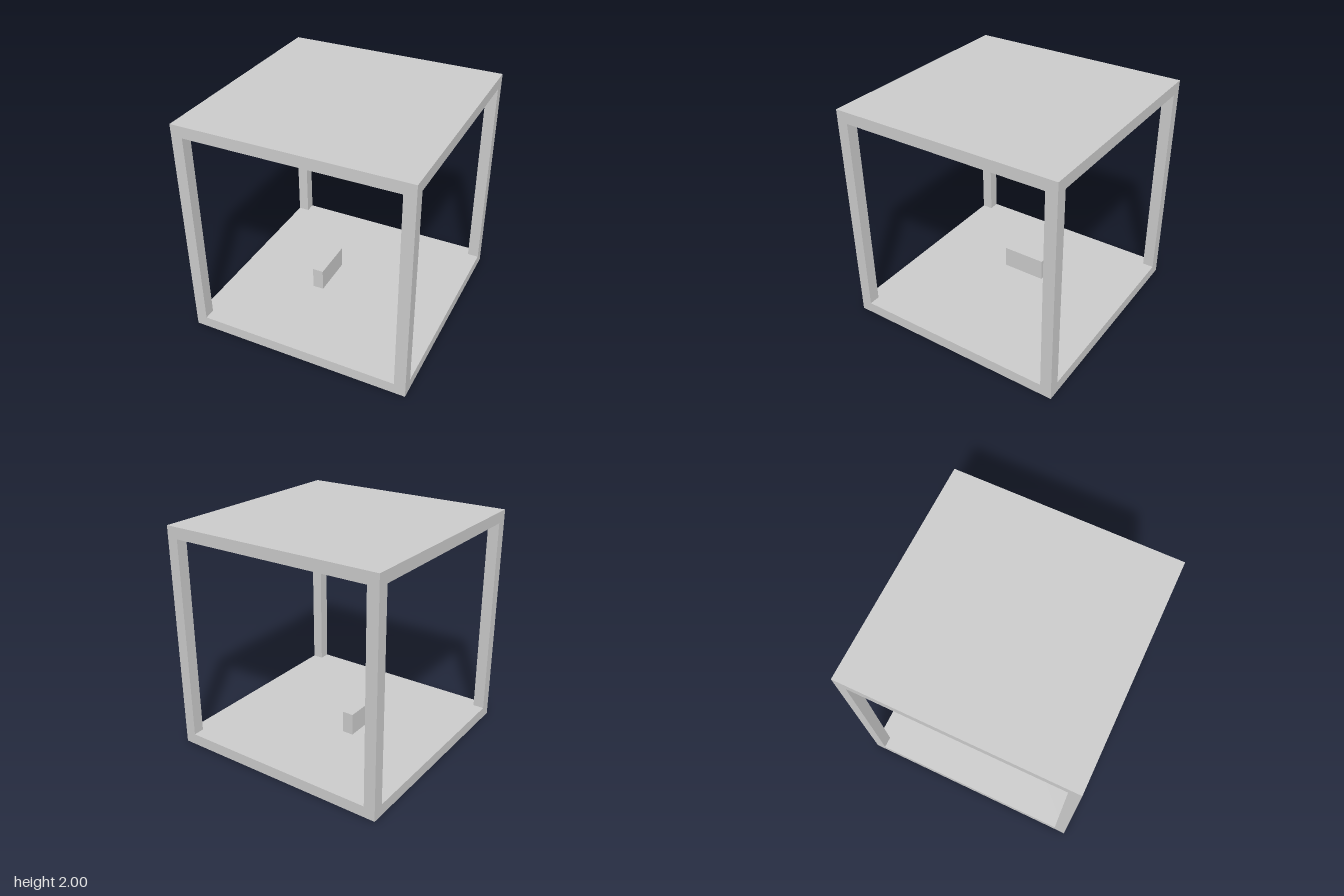
import * as THREE from 'three';

export function createModel() {
  const model = new THREE.Group();
  const material = new THREE.MeshStandardMaterial({ color: 0xcccccc, flatShading: true });

  // Box given by its size and the centre of its underside
  function addBox(name, [w, h, d], [x, y, z]) {
    const mesh = new THREE.Mesh(new THREE.BoxGeometry(w, h, d), material);
    mesh.name = name;
    mesh.position.set(x, y + h / 2, z);
    model.add(mesh);
  }

  const size = 2, t = 0.1;

  // Floor and roof slabs
  addBox('floor', [size, t, size], [0, 0, 0]);
  addBox('roof', [size, t, size], [0, size - t, 0]);

  // Four square corner posts between the slabs
  const c = (size - t) / 2;
  for (const [sideX, x] of [['Right', -c], ['Left', c]]) {
    for (const [sideZ, z] of [['front', c], ['back', -c]]) {
      addBox(sideZ + sideX + 'Post', [t, size - 2 * t, t], [x, t, z]);
    }
  }

  // Small upright block standing on the floor
  addBox('floorBlock', [0.1, 0.2, 0.4], [-0.2, t, 0]);

  return model;
}
